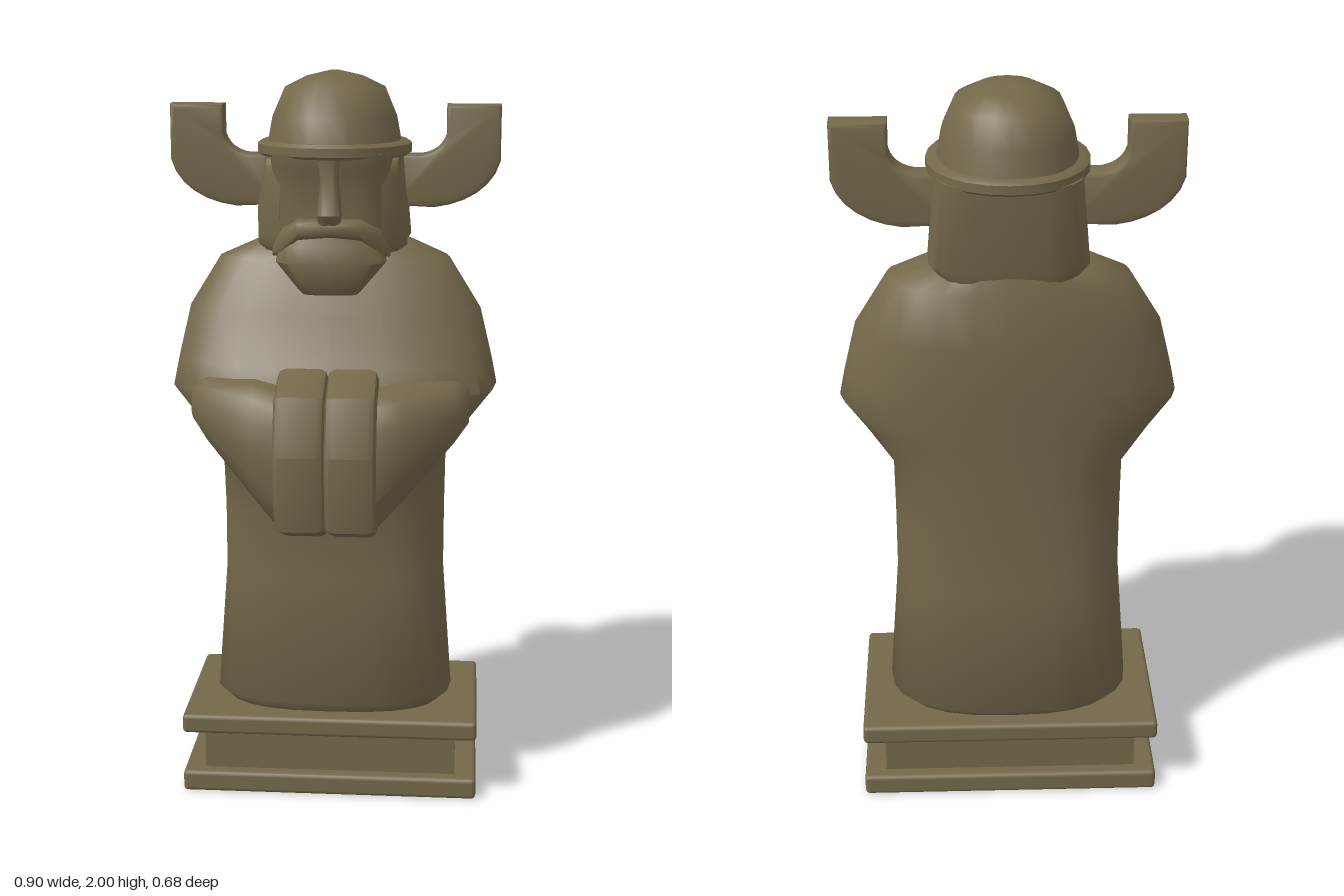
import * as THREE from 'three';
import { toCreasedNormals } from 'three/addons/utils/BufferGeometryUtils.js';
import { RoundedBoxGeometry } from 'three/addons/geometries/RoundedBoxGeometry.js';

const stone = new THREE.MeshStandardMaterial({ color: 0x74684a });
stone.name = 'oliveStone';

function add(parent, name, geo, x = 0, y = 0, z = 0) {
  const m = new THREE.Mesh(geo, stone);
  m.name = name;
  m.position.set(x, y, z);
  parent.add(m);
  return m;
}

// Signed power, for rounded-square sections
const pw = (v, p) => Math.sign(v) * Math.pow(Math.abs(v), 2 / p);

// Horizontal section with separate depth and squareness at front and back
function oval(y, hw, zf, zb, p = 2.5, zm = (zf + zb) / 2, pf = p, n = 24) {
  return Array.from({ length: n }, (_, i) => {
    const a = (i / n) * Math.PI * 2, front = i < n / 2, q = front ? pf : p;
    return [hw * pw(Math.cos(a), q), y, zm + (front ? zf - zm : zm - zb) * pw(Math.sin(a), q)];
  });
}

// Upright section at one x
function slice(x, cy, hy, cz, hz, p = 2.3, n = 16) {
  return Array.from({ length: n }, (_, i) => {
    const a = (i / n) * Math.PI * 2;
    return [x, cy + hy * pw(Math.sin(a), p), cz + hz * pw(Math.cos(a), p)];
  });
}

// Closed skin through equal-length rings; faces are turned outwards
function loft(rings, crease = 0.7) {
  const n = rings[0].length, tris = [];
  const centre = r => [0, 1, 2].map(k => r.reduce((t, q) => t + q[k], 0) / n);
  for (let j = 0; j < rings.length - 1; j++) {
    for (let i = 0; i < n; i++) {
      const k = (i + 1) % n, A = rings[j], B = rings[j + 1];
      tris.push([A[i], B[i], B[k]], [A[i], B[k], A[k]]);
    }
  }
  const first = rings[0], last = rings[rings.length - 1];
  for (let i = 0; i < n; i++) {
    const k = (i + 1) % n;
    tris.push([first[i], first[k], centre(first)], [last[k], last[i], centre(last)]);
  }
  const v = tris.map(t => t.map(q => new THREE.Vector3(...q)));
  const volume = v.reduce((t, [a, b, c]) => t + a.dot(b.clone().cross(c)), 0);
  const pos = v.flatMap(([a, b, c]) => (volume > 0 ? [a, b, c] : [a, c, b])).flatMap(q => q.toArray());
  const g = new THREE.BufferGeometry();
  g.setAttribute('position', new THREE.Float32BufferAttribute(pos, 3));
  return toCreasedNormals(g, crease);
}

// Bevelled plate that keeps its outline
function plate(shape, thick, bevel) {
  const g = new THREE.ExtrudeGeometry(shape, {
    depth: thick - 2 * bevel, bevelThickness: bevel, bevelSize: bevel,
    bevelOffset: -bevel, bevelSegments: 2, curveSegments: 6,
  });
  g.translate(0, 0, bevel - thick / 2);
  return toCreasedNormals(g, 0.6);
}

export function createModel() {
  const root = new THREE.Group();
  root.name = 'statue';

  // Plinth
  const plinth = new THREE.Group();
  plinth.name = 'plinth';
  root.add(plinth);
  add(plinth, 'lowerSlab', new RoundedBoxGeometry(0.826, 0.06, 0.49, 2, 0.012), 0, 0.03, -0.095);
  add(plinth, 'plinthCore', new THREE.BoxGeometry(0.706, 0.14, 0.415), 0, 0.118, -0.095);
  add(plinth, 'upperSlab', new RoundedBoxGeometry(0.826, 0.055, 0.49, 2, 0.012), 0, 0.2025, -0.095);

  // Robe and shoulders: height, half width, front, back, squareness at back and front
  add(root, 'robe', loft([
    [0.225, 0.3, 0.09, -0.285], [0.26, 0.337, 0.115, -0.314], [0.62, 0.31, 0.098, -0.283],
    [0.8, 0.31, 0.1, -0.283], [0.97, 0.312, 0.14, -0.285, 2.5, 2.8],
    [1.07, 0.385, 0.18, -0.29, 2.2, 2.8], [1.15, 0.45, 0.175, -0.295, 2, 2.7],
    [1.22, 0.436, 0.125, -0.298, 2, 2.6], [1.36, 0.402, 0.065, -0.305, 2, 2.5],
    [1.5, 0.315, 0.0, -0.285, 2.2, 2.4], [1.548, 0.2, -0.025, -0.272],
  ].map(([y, w, f, b, p = 2.6, pf = p]) => oval(y, w, f, b, p, -0.09, pf)), 1));

  // Sleeves and clasped hands
  const handSide = new THREE.Shape([
    [0.08, 0.8], [0.17, 0.77], [0.305, 0.82], [0.338, 1.03], [0.285, 1.18], [0.155, 1.23], [0.08, 1.19],
  ].map(q => new THREE.Vector2(...q)));
  for (const s of [-1, 1]) {
    const side = s > 0 ? 'left' : 'right';
    add(root, side + 'Sleeve', loft([
      slice(0.375 * s, 1.12, 0.055, 0.03, 0.085),
      slice(0.335 * s, 1.105, 0.09, 0.06, 0.112),
      slice(0.2 * s, 1.03, 0.17, 0.1, 0.152),
      slice(0.125 * s, 0.985, 0.197, 0.14, 0.143, 2.8),
      slice(0.05 * s, 0.98, 0.19, 0.13, 0.13, 2.8),
    ], 1));
    const hand = plate(handSide, 0.136, 0.022);
    hand.rotateY(-Math.PI / 2);
    add(root, side + 'Hand', hand, 0.067 * s, 0, 0);
  }

  // Head
  const head = new THREE.Group();
  head.name = 'head';
  root.add(head);
  add(head, 'hair', loft([
    oval(1.52, 0.17, 0.01, -0.265, 4), oval(1.56, 0.208, 0.03, -0.276, 4),
    oval(1.79, 0.188, 0.05, -0.296, 3.5),
  ]));
  add(head, 'face', loft([
    oval(1.5, 0.13, 0.09, -0.1, 3), oval(1.62, 0.152, 0.108, -0.1, 3),
    oval(1.7, 0.155, 0.1, -0.1, 3), oval(1.75, 0.16, 0.125, -0.1, 3), oval(1.79, 0.165, 0.13, -0.1, 3),
  ]));
  for (const s of [-1, 1]) {
    // Side locks framing the cheeks
    add(head, s > 0 ? 'leftLock' : 'rightLock', loft([
      slice(0.135 * s, 1.65, 0.13, 0.015, 0.06, 4), slice(0.175 * s, 1.65, 0.125, -0.005, 0.055, 4),
      slice(0.2 * s, 1.6, 0.06, -0.03, 0.04, 4),
    ]));
  }

  // Nose, drooping moustache and beard
  add(head, 'nose', loft([
    oval(1.605, 0.03, 0.14, 0.08, 3), oval(1.635, 0.034, 0.16, 0.08, 3),
    oval(1.72, 0.024, 0.132, 0.08, 3), oval(1.78, 0.032, 0.138, 0.08, 3),
  ]));
  add(head, 'moustache', loft([
    [-0.157, 1.53, 0.015, 0.025, 0.035], [-0.13, 1.557, 0.038, 0.045, 0.055],
    [-0.085, 1.592, 0.03, 0.07, 0.062], [0, 1.598, 0.026, 0.08, 0.066],
    [0.085, 1.592, 0.03, 0.07, 0.062], [0.13, 1.557, 0.038, 0.045, 0.055],
    [0.157, 1.53, 0.015, 0.025, 0.035],
  ].map(q => slice(...q, 3))));
  add(head, 'beard', loft([
    oval(1.42, 0.075, 0.112, 0.025, 3), oval(1.44, 0.093, 0.128, 0.0, 3),
    oval(1.505, 0.148, 0.143, -0.03, 2.5), oval(1.55, 0.142, 0.13, -0.04, 2.5),
    oval(1.585, 0.12, 0.12, -0.04, 2.5),
  ]));

  // Helmet with brim
  add(head, 'helmetBrim', loft([
    oval(1.778, 0.2, 0.142, -0.317, 2.1), oval(1.785, 0.209, 0.149, -0.326, 2.1),
    oval(1.808, 0.209, 0.149, -0.326, 2.1), oval(1.817, 0.195, 0.14, -0.315, 2.1),
  ]));
  add(head, 'helmetDome', loft([
    oval(1.8, 0.183, 0.138, -0.305, 2.2), oval(1.88, 0.168, 0.126, -0.29, 2.2),
    oval(1.955, 0.136, 0.08, -0.265, 2.2), oval(1.985, 0.075, 0.015, -0.18, 2.2),
    oval(2.0, 0.012, -0.07, -0.095, 2),
  ], 1));

  // Horns
  const horn = new THREE.Shape();
  horn.moveTo(0.15, 1.64);
  horn.lineTo(0.27, 1.635);
  horn.bezierCurveTo(0.36, 1.645, 0.43, 1.69, 0.448, 1.76);
  horn.lineTo(0.448, 1.91);
  horn.lineTo(0.302, 1.91);
  horn.lineTo(0.302, 1.83);
  horn.quadraticCurveTo(0.288, 1.785, 0.235, 1.777);
  horn.lineTo(0.15, 1.777);
  const hornGeo = plate(horn, 0.075, 0.012);
  add(head, 'leftHorn', hornGeo, 0, 0, -0.105);
  add(head, 'rightHorn', hornGeo, 0, 0, -0.105).rotation.y = Math.PI;

  return root;
}
